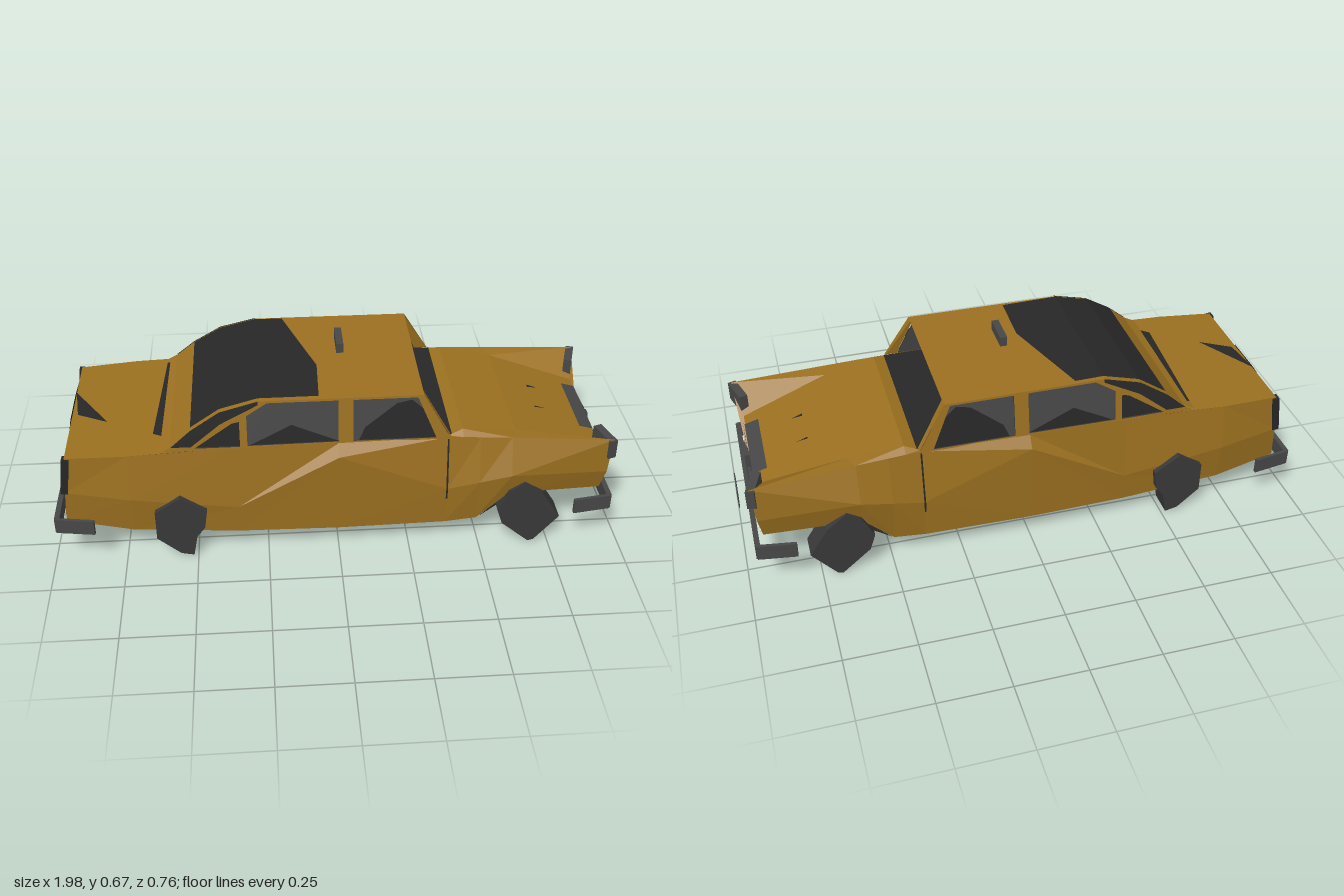
import * as THREE from 'three';

const paint = (name, color) => {
  const m = new THREE.MeshStandardMaterial({ color, flatShading: true, side: THREE.DoubleSide });
  m.name = name;
  return m;
};

export function createModel() {
  const car = new THREE.Group();
  car.name = 'taxi';
  const gold = paint('goldPaint', 0x9b7020);
  const grey = paint('greyTrim', 0x474747);
  const dark = paint('darkGlass', 0x272727);
  const rubber = paint('wheelGrey', 0x393939);

  const add = (name, geo, mat) => {
    const mesh = new THREE.Mesh(geo, mat);
    mesh.name = name;
    car.add(mesh);
    return mesh;
  };
  // Flat polygons, each drawn as a fan from its first corner
  const panels = (name, mat, polys) => {
    const pos = [];
    for (const p of polys)
      for (let i = 1; i < p.length - 1; i++) pos.push(...p[0], ...p[i], ...p[i + 1]);
    const geo = new THREE.BufferGeometry();
    geo.setAttribute('position', new THREE.Float32BufferAttribute(pos, 3));
    geo.computeVertexNormals();
    return add(name, geo, mat);
  };
  const box = (name, mat, size, at, turnY = 0, turnZ = 0) => {
    const m = add(name, new THREE.BoxGeometry(...size), mat);
    m.position.set(...at);
    m.rotation.set(0, turnY, turnZ);
    return m;
  };
  const sides = [1, -1];
  const flip = ([x, y, z], s) => [x, y, z * s];

  // Lower body: x, height and half width at sill, ridge and belt, then forward slant
  const ribs = [
    [-0.955, 0.14, 0.29, 0.27, 0.305, 0.41, 0.3, 0.012],
    [-0.72, 0.11, 0.32, 0.25, 0.335, 0.42, 0.315, 0],
    [-0.35, 0.09, 0.328, 0.2, 0.335, 0.435, 0.31, 0],
    [0, 0.09, 0.335, 0.4, 0.345, 0.44, 0.315, 0],
    [0.38, 0.09, 0.327, 0.24, 0.335, 0.44, 0.305, 0],
    [0.49, 0.1, 0.325, 0.27, 0.347, 0.435, 0.308, 0],
    [0.6, 0.21, 0.335, 0.3, 0.358, 0.43, 0.31, 0],
    [0.93, 0.2, 0.305, 0.28, 0.325, 0.41, 0.32, 0.013],
  ];
  const corner = (r, k, s) => [r[0] + k * r[7], r[1 + 2 * k], s * r[2 + 2 * k]];
  const skin = [], floor = [];
  for (let i = 0; i < ribs.length - 1; i++) {
    const a = ribs[i], b = ribs[i + 1];
    for (const s of sides)
      for (const k of [0, 1])
        skin.push([corner(a, k, s), corner(b, k, s), corner(b, k + 1, s), corner(a, k + 1, s)]);
    floor.push([corner(a, 0, 1), corner(b, 0, 1), corner(b, 0, -1), corner(a, 0, -1)]);
  }
  panels('bodySides', gold, skin);
  panels('floor', rubber, floor);

  // Tail and nose panels
  const edge = (r, s) => [0, 1, 2].map(k => corner(r, k, s));
  const [tail, nose] = [ribs[0], ribs[ribs.length - 1]];
  panels('tailPanel', gold, [[...edge(tail, 1), ...edge(tail, -1).reverse()]]);
  panels('nosePanel', gold, [[[0.93, 0.2, 0], ...edge(nose, 1), [0.93, 0.337, 0.2], [0.93, 0.337, -0.2],
    ...edge(nose, -1).reverse()]]);

  // Hood dips between the raised fenders
  const hood = [[0.38, 0.44, 0.295], [0.43, 0.455, 0.28], [0.62, 0.425, 0.255], [0.93, 0.337, 0.2]];
  const fender = [[0.38, 0.44, 0.305], [0.43, 0.437, 0.306], [0.6, 0.43, 0.31], [0.956, 0.41, 0.32]];
  const hoodFaces = [];
  for (let i = 0; i < 3; i++) {
    hoodFaces.push([flip(hood[i], 1), flip(hood[i + 1], 1), flip(hood[i + 1], -1), flip(hood[i], -1)]);
    for (const s of sides)
      hoodFaces.push([hood[i], hood[i + 1], fender[i + 1], fender[i]].map(p => flip(p, s)));
  }
  panels('hoodAndFenders', gold, hoodFaces);
  for (const s of sides)
    panels('washerNozzle', dark, [[[0.73, 0.396, s * 0.064], [0.77, 0.386, s * 0.07], [0.73, 0.398, s * 0.076]]]);

  // Trunk deck with the dark gap, and the dent at its rear edge
  panels('trunkDeck', gold, [[[-0.931, 0.41, 0.3], [-0.72, 0.42, 0.315], [-0.5, 0.43, 0.312],
    [-0.5, 0.43, -0.312], [-0.72, 0.42, -0.315], [-0.931, 0.41, -0.3]]]);
  panels('trunkGap', dark, [[[-0.635, 0.431, 0.2], [-0.605, 0.434, 0.22], [-0.595, 0.436, -0.27], [-0.605, 0.434, -0.27]]]);
  panels('trunkDent', dark, [[[-0.93, 0.416, -0.11], [-0.88, 0.419, -0.02], [-0.8, 0.421, 0.1], [-0.91, 0.417, 0.04]],
    [[-0.935, 0.41, -0.1], [-0.935, 0.41, 0.06], [-0.945, 0.315, 0.2], [-0.945, 0.335, 0], [-0.938, 0.385, -0.26]]]);

  // Cabin sides lean inward above the belt
  const lean = (geo, s, inset) => {
    const p = geo.attributes.position;
    for (let i = 0; i < p.count; i++) p.setZ(i, s * (0.31 - (p.getY(i) - 0.44) * 0.15 - inset));
    geo.computeVertexNormals();
    return geo;
  };
  const outline = pts => pts.map(p => new THREE.Vector2(...p));
  const windows = {
    quarterWindow: [[-0.49, 0.438], [-0.335, 0.438], [-0.335, 0.53], [-0.36, 0.525]],
    rearWindow: [[-0.31, 0.44], [0, 0.443], [0, 0.594], [-0.24, 0.594], [-0.31, 0.55]],
    frontWindow: [[0.05, 0.443], [0.335, 0.443], [0.27, 0.594], [0.05, 0.594]],
  };
  // Dark plates: name, distance inward, outline
  const shades = [
    ['rearWindowShade', 0.003, [[-0.3, 0.441], [0, 0.444], [-0.16, 0.51]]],
    ['frontWindowShade', 0.003, [[0.07, 0.444], [0.335, 0.444], [0.29, 0.55], [0.25, 0.585], [0.2, 0.575], [0.09, 0.49]]],
    ['rearGlassSide', -0.003, [[-0.57, 0.446], [-0.5, 0.446], [-0.4, 0.525], [-0.27, 0.59], [-0.27, 0.603], [-0.4, 0.569], [-0.5, 0.506]]],
  ];
  const frame = new THREE.Shape(outline([[-0.6, 0.428], [0.385, 0.438], [0.29, 0.602], [-0.27, 0.602],
    [-0.4, 0.568], [-0.5, 0.505], [-0.57, 0.445]]));
  for (const w of Object.values(windows)) frame.holes.push(new THREE.Path(outline(w)));
  for (const s of sides) {
    add('cabinSide', lean(new THREE.ShapeGeometry(frame), s, 0), gold);
    for (const [name, w] of Object.entries(windows))
      add(name, lean(new THREE.ShapeGeometry(new THREE.Shape(outline(w))), s, 0.006), name === 'quarterWindow' ? dark : grey);
    for (const [name, inset, w] of shades)
      add(name, lean(new THREE.ShapeGeometry(new THREE.Shape(outline(w))), s, inset), dark);
    const seam = [[0.2, 0.337], [0.24, 0.339], [0.435, 0.309]];
    panels('doorSeam', dark, [0, 1].map(i => [[0.375, ...seam[i]], [0.381, ...seam[i]],
      [0.381, ...seam[i + 1]], [0.375, ...seam[i + 1]]].map(p => flip(p, s))));
  }

  // Roof shell, rear glass, front pillars
  const roof = [[-0.61, 0.428, 0.305], [-0.57, 0.445, 0.305], [-0.5, 0.505, 0.3], [-0.4, 0.568, 0.29],
    [-0.27, 0.602, 0.286], [0.29, 0.602, 0.286]];
  const strip = (pts, lift, shrink) => pts.slice(1).map((b, i) =>
    [[pts[i], 1], [b, 1], [b, -1], [pts[i], -1]].map(([p, s]) => [p[0], p[1] + lift, s * (p[2] - shrink)]));
  panels('roof', gold, strip(roof, 0, 0));
  panels('rearGlass', dark, [...strip(roof.slice(2, 5), 0.005, 0.012),
    [[-0.27, 0.607, 0.274], [-0.065, 0.605, 0.27], [-0.06, 0.605, 0.07], [-0.17, 0.605, -0.274], [-0.27, 0.607, -0.274]]]);
  for (const s of sides)
    panels('frontPillar', gold, [[[0.385, 0.44, s * 0.31], [0.385, 0.445, s * 0.29], [0.29, 0.602, s * 0.255], [0.29, 0.602, s * 0.286]]]);
  // Screen and dashboard inside the open windshield
  panels('cabinScreen', grey, [[[-0.2, 0.45, -0.285], [-0.2, 0.6, -0.24], [-0.2, 0.6, 0.26]]]);
  panels('dashboard', dark, [[[-0.05, 0.444, 0.3], [0.39, 0.446, 0.295], [0.39, 0.446, -0.295], [-0.05, 0.444, -0.3]]]);
  box('roofSign', grey, [0.025, 0.035, 0.118], [0.022, 0.662, 0]);

  // Grille, lamps
  panels('grille', grey, [[[0.938, 0.205, -0.305], [0.938, 0.265, -0.305], [0.936, 0.325, -0.18], [0.936, 0.338, 0],
    [0.936, 0.325, 0.18], [0.938, 0.265, 0.305], [0.938, 0.205, 0.305]]]);
  panels('grilleTop', grey, [[[0.882, 0.354, 0.145], [0.932, 0.34, 0.145], [0.932, 0.34, -0.145], [0.882, 0.354, -0.145]]]);
  box('grilleBand', grey, [0.012, 0.06, 0.28], [0.94, 0.238, 0]);
  box('grilleBar', grey, [0.02, 0.115, 0.026], [0.94, 0.262, 0]);
  for (const s of sides) {
    box('headlight', grey, [0.03, 0.07, 0.11], [0.937, 0.373, s * 0.275], s * 0.3);
    box('tailLight', dark, [0.025, 0.14, 0.03], [-0.936, 0.338, s * 0.294], 0, -0.12);
  }

  // Bumpers with flared ends, and number plates
  for (const [end, x] of [[1, 0.955], [-1, -0.975]]) {
    box('bumper', grey, [0.018, 0.056, 0.71], [x, 0.17, 0]);
    for (const s of sides)
      box('bumperEnd', grey, [0.135, 0.056, 0.012], [x - end * 0.062, 0.17, s * 0.364], end * s * 0.15);
  }
  box('frontPlate', grey, [0.004, 0.065, 0.12], [0.995, 0.163, 0]);
  box('rearPlate', dark, [0.012, 0.055, 0.12], [-0.957, 0.24, 0]);

  // Rough faceted wheels
  const treads = {
    frontWheel: [[0.56, 0.15], [0.6, 0.23], [0.65, 0.265], [0.72, 0.21], [0.785, 0.11], [0.7, 0.01], [0.68, 0.005], [0.58, 0.09]],
    rearWheel: [[-0.64, 0.2], [-0.55, 0.26], [-0.46, 0.2], [-0.47, 0.13], [-0.5, 0.09], [-0.515, 0.01], [-0.56, 0.02], [-0.64, 0.09]],
  };
  for (const [name, tread] of Object.entries(treads))
    for (const s of sides) {
      const geo = new THREE.ExtrudeGeometry(new THREE.Shape(outline(tread)), { depth: 0.09, bevelEnabled: false });
      add(name, geo, rubber).position.z = s > 0 ? 0.262 : -0.352;
    }

  // Wheel arch liners and underside brackets
  for (const s of sides) {
    panels('archLiner', rubber, [[[0.5, 0.11, s * 0.33], [0.6, 0.215, s * 0.338], [0.66, 0.25, s * 0.3], [0.6, 0.13, s * 0.27]]]);
    box('rearBracket', rubber, [0.06, 0.04, 0.028], [-0.58, 0.08, s * 0.223]);
    box('frontBracket', rubber, [0.08, 0.06, 0.03], [0.6, 0.17, s * 0.223]);
  }
  box('exhaustBracket', rubber, [0.1, 0.012, 0.08], [-0.83, 0.108, 0]);
  return car;
}
